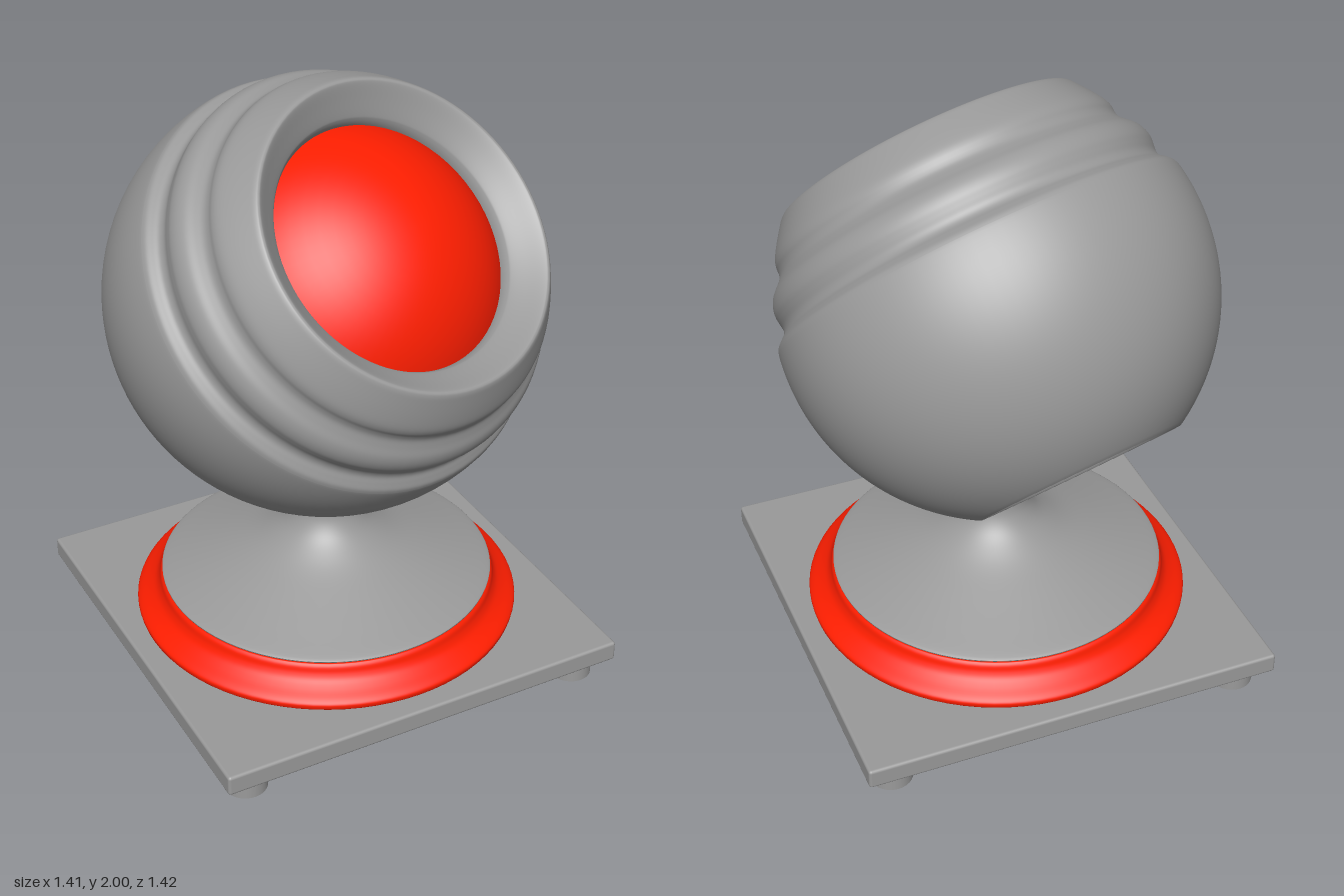
import * as THREE from 'three';
import { RoundedBoxGeometry } from 'three/addons/geometries/RoundedBoxGeometry.js';

const grey = new THREE.MeshStandardMaterial({ color: 0x9a9a9a, side: THREE.DoubleSide });
const red = new THREE.MeshStandardMaterial({ color: 0xff1e00, side: THREE.DoubleSide });

function add(parent, name, geometry, material, x = 0, y = 0, z = 0) {
  const mesh = new THREE.Mesh(geometry, material);
  mesh.name = name;
  mesh.position.set(x, y, z);
  parent.add(mesh);
  return mesh;
}

// Smooth curve through [radius, height] pairs
function smooth(pairs, steps) {
  return new THREE.SplineCurve(pairs.map(([r, h]) => new THREE.Vector2(r, h))).getPoints(steps);
}

function shellGeometry() {
  const R = 0.7;
  // Bevelled hole at the back
  const points = smooth([[0.268, -0.46], [0.28, -0.492], [0.306, -0.55], [0.326, -0.595], [0.343, -0.61]], 20);
  // Spherical body
  const a0 = Math.atan2(-0.61, 0.343), a1 = Math.asin(0.11 / R);
  for (let i = 1; i <= 48; i++) {
    const a = a0 + (a1 - a0) * i / 48;
    points.push(new THREE.Vector2(R * Math.cos(a), R * Math.sin(a)));
  }
  // Two shallow grooves, front rim and sloping bowl
  points.push(...smooth([
    [0.689, 0.12], [0.682, 0.135], [0.666, 0.15], [0.65, 0.165], [0.644, 0.185], [0.647, 0.21],
    [0.649, 0.235], [0.643, 0.262], [0.629, 0.287], [0.606, 0.31], [0.589, 0.33], [0.583, 0.35],
    [0.582, 0.372], [0.574, 0.396], [0.552, 0.432], [0.522, 0.475], [0.508, 0.493], [0.498, 0.499],
    [0.486, 0.494], [0.45, 0.461], [0.415, 0.428], [0.405, 0.415], [0.398, 0.395], [0.394, 0.365],
  ], 115));
  return new THREE.LatheGeometry(points, 96);
}

export function createModel() {
  const model = new THREE.Group();
  model.name = 'ballOnStand';

  // Tilted ball: hollow shell around a coloured core
  const ball = new THREE.Group();
  ball.name = 'ball';
  ball.position.y = 1.295;
  ball.quaternion.setFromUnitVectors(
    new THREE.Vector3(0, 1, 0), new THREE.Vector3(0.183, 0.695, 0.695).normalize());
  model.add(ball);
  add(ball, 'shell', shellGeometry(), grey);
  add(ball, 'core', new THREE.SphereGeometry(0.555, 64, 40), red);

  // Flared pedestal
  const pedestal = [new THREE.Vector2(0, 0.266), new THREE.Vector2(0.553, 0.266), ...smooth([
    [0.553, 0.268], [0.545, 0.276], [0.46, 0.305], [0.36, 0.34], [0.26, 0.378], [0.195, 0.412], [0.145, 0.451],
    [0.116, 0.495], [0.107, 0.54], [0.112, 0.575], [0.13, 0.597], [0.165, 0.612], [0.18, 0.63],
  ], 60)];
  add(model, 'pedestal', new THREE.LatheGeometry(pedestal, 80), grey);

  // Coloured ring under the pedestal
  const ring = [new THREE.Vector2(0, 0.145), new THREE.Vector2(0.636, 0.145), ...smooth([
    [0.638, 0.148], [0.64, 0.163], [0.628, 0.176], [0.6, 0.194], [0.578, 0.212], [0.566, 0.232], [0.56, 0.252],
    [0.552, 0.262],
  ], 30), new THREE.Vector2(0, 0.262)];
  add(model, 'baseRing', new THREE.LatheGeometry(ring, 80), red);

  // Square plate on four round feet
  add(model, 'plate', new RoundedBoxGeometry(1.415, 0.07, 1.415, 3, 0.01), grey, 0, 0.109, 0);
  for (const x of [-0.602, 0.602]) for (const z of [-0.602, 0.602]) {
    add(model, 'foot', new THREE.CylinderGeometry(0.07, 0.07, 0.076, 32), grey, x, 0.038, z);
  }
  return model;
}
